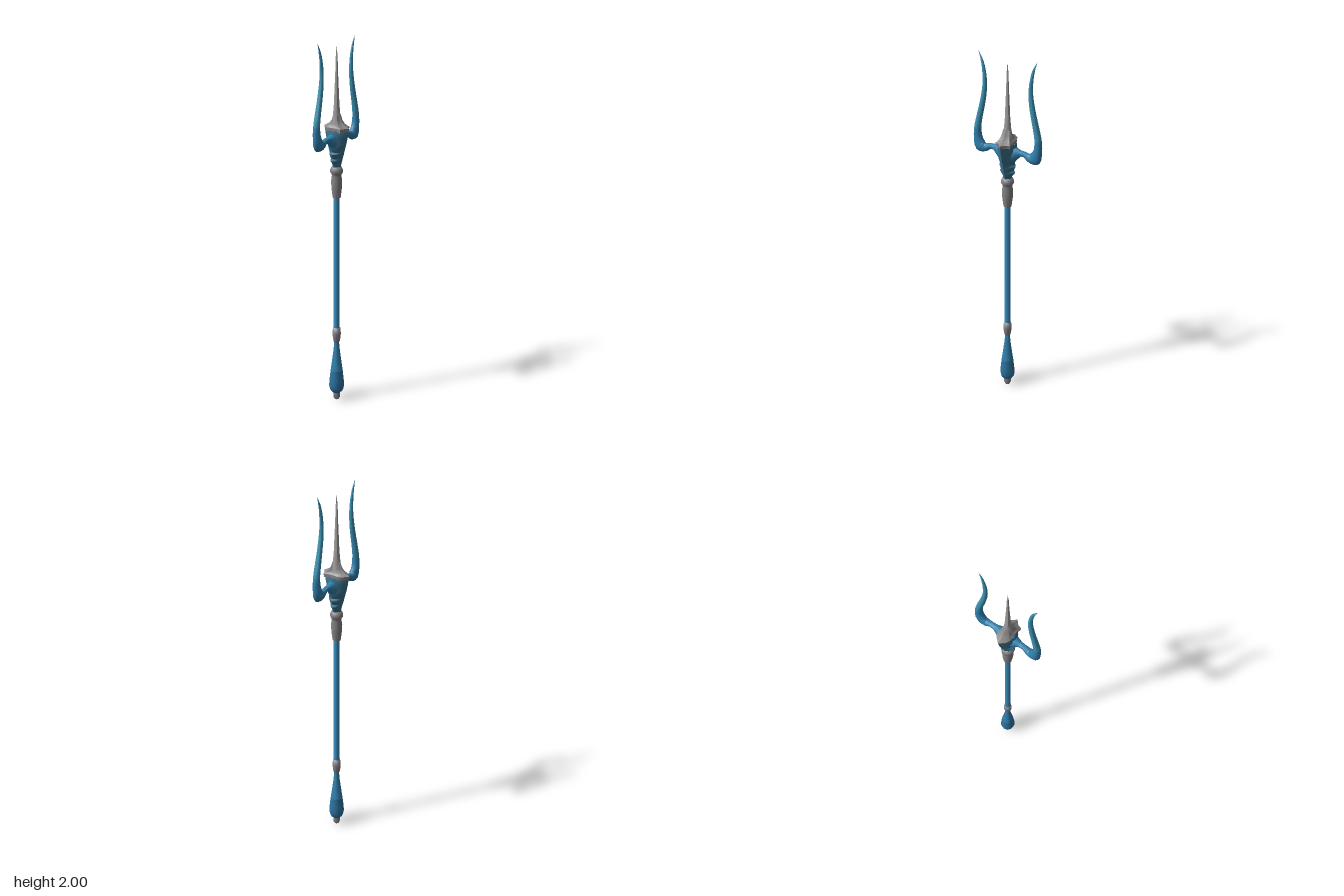
import * as THREE from 'three';
import { toCreasedNormals } from 'three/addons/utils/BufferGeometryUtils.js';

const mat = (name, color) => {
  const m = new THREE.MeshStandardMaterial({ color });
  m.name = name;
  return m;
};

// Skin a list of equal-length rings of [x, y, z]
function loft(rings, crease = 0.7) {
  const n = rings[0].length, index = [];
  for (let r = 0; r < rings.length - 1; r++) {
    for (let i = 0; i < n; i++) {
      const a = r * n + i, b = r * n + (i + 1) % n;
      index.push(a, a + n, b, b, a + n, b + n);
    }
  }
  const g = new THREE.BufferGeometry();
  g.setAttribute('position', new THREE.Float32BufferAttribute(rings.flat(2), 3));
  g.setIndex(index);
  return toCreasedNormals(g, crease);
}

// Round part from [radius, y] pairs
function turned(profile, sides = 12) {
  const g = new THREE.LatheGeometry(profile.map(p => new THREE.Vector2(...p)), sides);
  return toCreasedNormals(g, 0.9);
}

// Stack of one scaled outline: rows are [y, halfWidth, halfDepth]
const stack = (outline, rows) =>
  loft(rows.map(([y, w, d]) => outline.map(([x, z]) => [x * w, y, z * d])), 0.6);

// Prong rows: [x, y, radius in plane, radius in depth]
const PRONG = [
  [0.02, 1.49, 0.05, 0.035], [0.05, 1.498, 0.032, 0.024], [0.075, 1.503, 0.016, 0.015],
  [0.10, 1.502, 0.014, 0.014], [0.13, 1.488, 0.023, 0.019], [0.154, 1.494, 0.036, 0.021],
  [0.169, 1.535, 0.023, 0.02], [0.171, 1.59, 0.018, 0.018], [0.16, 1.65, 0.016, 0.016],
  [0.146, 1.71, 0.015, 0.014], [0.134, 1.77, 0.014, 0.012], [0.127, 1.83, 0.012, 0.01],
  [0.129, 1.89, 0.01, 0.008], [0.14, 1.95, 0.007, 0.005], [0.16, 2.0, 0, 0],
];

function prongRings(side) {
  const curve = new THREE.CatmullRomCurve3(
    PRONG.map(([x, y]) => new THREE.Vector3(x * side, y, 0)), false, 'centripetal');
  const steps = (PRONG.length - 1) * 3, rings = [];
  for (let s = 0; s <= steps; s++) {
    const u = s / 3, k = Math.min(Math.floor(u), PRONG.length - 2), f = u - k;
    const c = curve.getPoint(s / steps), t = curve.getTangent(s / steps);
    const r = THREE.MathUtils.lerp(PRONG[k][2], PRONG[k + 1][2], f);
    const d = THREE.MathUtils.lerp(PRONG[k][3], PRONG[k + 1][3], f);
    rings.push(Array.from({ length: 10 }, (_, i) => {
      const a = i / 10 * Math.PI * 2, q = Math.cos(a) * r;
      return [c.x + t.y * q, c.y - t.x * q, Math.sin(a) * d];
    }));
  }
  return rings;
}

export function createModel() {
  const blue = mat('blue', 0x3a8fc0);
  const armBlue = mat('armBlue', 0x3281af);
  const deepBlue = mat('deepBlue', 0x2c75a3);
  const tealBlue = mat('tealBlue', 0x3f94b6);
  const slateBlue = mat('slateBlue', 0x3a728d);
  const steel = mat('steel', 0x868487);
  const capSteel = mat('capSteel', 0x8e8b8d);
  const paleSteel = mat('paleSteel', 0xa29f9f);
  const group = new THREE.Group();
  const add = (name, geometry, material) => {
    const m = new THREE.Mesh(geometry, material);
    m.name = name;
    group.add(m);
  };

  // Handle, from the butt upwards
  add('buttCap', turned([[0, 0], [0.013, 0], [0.019, 0.012], [0.019, 0.035], [0.022, 0.05], [0, 0.055]]), steel);
  add('pommelBulb', turned([[0, 0.042], [0.02, 0.042], [0.036, 0.058], [0.042, 0.085], [0.039, 0.125],
    [0.033, 0.18]], 10), deepBlue);
  add('pommelNeck', turned([[0.033, 0.18], [0.025, 0.24], [0.018, 0.295], [0.014, 0.34], [0.014, 0.37]], 10), armBlue);
  add('lowerCollar', turned([[0.013, 0.35], [0.018, 0.357], [0.022, 0.385], [0.023, 0.405], [0.02, 0.435], [0.014, 0.44]]), steel);
  const shaft = new THREE.CylinderGeometry(0.016, 0.016, 0.78, 10, 1, true);
  shaft.translate(0, 0.81, 0);
  add('shaft', shaft, blue);
  add('upperCollar', turned([[0.014, 1.178], [0.021, 1.182], [0.027, 1.23], [0.029, 1.27], [0.025, 1.3],
    [0.026, 1.308], [0.033, 1.318], [0.034, 1.332], [0.027, 1.346], [0.018, 1.352]]), steel);

  // Wedge-shaped head with notched sides, deepest front to back
  const headOutline = [[1, 0], [0.72, 0.5], [0.3, 0.8], [0, 1], [-0.3, 0.8], [-0.72, 0.5],
    [-1, 0], [-0.72, -0.5], [-0.3, -0.8], [0, -1], [0.3, -0.8], [0.72, -0.5]];
  add('head', stack(headOutline, [
    [1.34, 0.022, 0.022], [1.365, 0.028, 0.029], [1.385, 0.044, 0.034], [1.395, 0.034, 0.037],
    [1.42, 0.046, 0.045], [1.43, 0.037, 0.047], [1.46, 0.05, 0.056], [1.475, 0.044, 0.06],
    [1.51, 0.052, 0.068], [1.545, 0.042, 0.074],
  ]), slateBlue);

  // Flared cap running into the central spike
  const capOutline = [[0.75, 0], [0.8, 0.4], [0.95, 0.66], [0.45, 0.74], [0, 1], [-0.45, 0.74],
    [-0.95, 0.66], [-0.8, 0.4], [-0.75, 0], [-0.85, -0.4], [-0.6, -0.7], [0, -1], [0.6, -0.7], [0.85, -0.4]];
  add('headCap', stack(capOutline, [
    [1.538, 0.042, 0.072], [1.557, 0.044, 0.077], [1.563, 0.036, 0.066],
    [1.573, 0.03, 0.046], [1.59, 0.024, 0.031], [1.62, 0.018, 0.02], [1.65, 0, 0],
  ]), capSteel);
  add('spike', turned([[0.03, 1.55], [0.024, 1.58], [0.019, 1.62], [0.014, 1.68], [0.011, 1.75],
    [0.007, 1.84], [0.005, 1.91], [0, 1.97]], 8), paleSteel);

  // Mirrored side prongs: curled arm below, slender blade above
  for (const [name, side] of [['left', 1], ['right', -1]]) {
    const rings = prongRings(side);
    add(name + 'ProngArm', loft(rings.slice(0, 22), 1), armBlue);
    add(name + 'ProngBlade', loft(rings.slice(21), 1), tealBlue);
  }
  return group;
}
